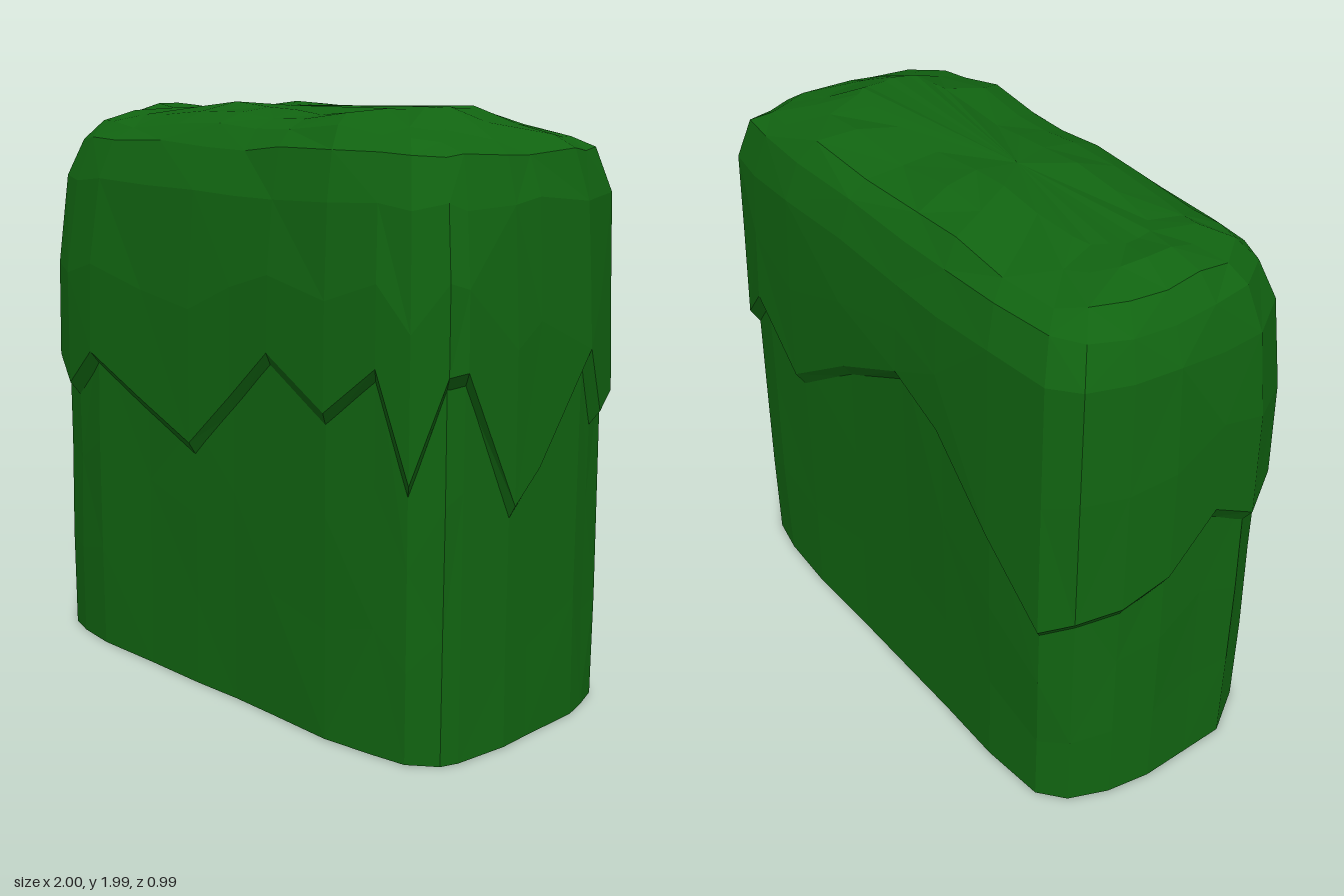
import * as THREE from 'three';

// Plan outline, counterclockwise from the front left: x, z, height of the zigzag edge
const OUTLINE = [
  [-0.90, 0.42, 1.04], [-0.80, 0.455, 0.95], [-0.64, 0.48, 1.09], [-0.36, 0.48, 0.96], [-0.10, 0.485, 0.85],
  [0.10, 0.48, 1.04], [0.28, 0.485, 1.21], [0.54, 0.495, 1.06], [0.73, 0.47, 1.22], [0.85, 0.45, 0.88],
  [0.94, 0.38, 1.21], [0.965, 0.32, 1.22], [0.995, 0.12, 0.78], [0.995, 0.0, 0.88], [1.0, -0.25, 1.22],
  [0.98, -0.34, 1.0], [0.945, -0.45, 1.05], [0.80, -0.48, 1.2], [0.55, -0.495, 1.0], [0.22, -0.49, 1.22],
  [-0.10, -0.49, 1.38], [-0.32, -0.49, 1.28], [-0.58, -0.495, 1.03], [-0.82, -0.475, 0.78], [-0.91, -0.40, 0.84],
  [-0.97, -0.26, 0.87], [-1.0, -0.10, 0.94], [-1.0, 0.08, 1.12], [-1.0, 0.25, 1.02],
];
const N = OUTLINE.length;

let seed = 7;
const jitter = (amount) => {
  seed = (seed * 16807) % 2147483647;
  return (seed / 2147483647 - 0.5) * 2 * amount;
};

// One ring: the outline pulled inward by a distance, at a height given per point
function ring(inset, height, rough = 0) {
  return OUTLINE.map(([x, z, zig]) => {
    const d = (typeof inset === 'function' ? inset(z) : inset) + Math.abs(jitter(rough));
    return [x * (1 - d), height(zig, x, z) + jitter(rough * 1.5), z * (1 - d * 2)];
  });
}

// Joins rings from bottom to top, with optional centre caps
function loft(rings, name, material, bottom, top) {
  const pos = rings.flat(2);
  const index = [];
  for (let r = 0; r < rings.length - 1; r++) {
    for (let i = 0; i < N; i++) {
      const a = r * N + i, b = r * N + (i + 1) % N;
      if ((i + r) % 2) index.push(a, b, b + N, a, b + N, a + N);
      else index.push(a, b, a + N, b, b + N, a + N);
    }
  }
  const cap = (point, base, up) => {
    const c = pos.length / 3;
    pos.push(...point);
    for (let i = 0; i < N; i++) {
      const a = base + i, b = base + (i + 1) % N;
      index.push(...(up ? [a, b, c] : [b, a, c]));
    }
  };
  if (bottom) cap(bottom, 0, false);
  if (top) cap(top, (rings.length - 1) * N, true);
  const geo = new THREE.BufferGeometry();
  geo.setAttribute('position', new THREE.Float32BufferAttribute(pos, 3));
  geo.setIndex(index);
  const flat = geo.toNonIndexed();
  flat.computeVertexNormals();
  const mesh = new THREE.Mesh(flat, material);
  mesh.name = name;
  return mesh;
}

export function createModel() {
  const group = new THREE.Group();
  group.name = 'hedgeBlock';
  const green = new THREE.MeshStandardMaterial({ color: 0x116411, flatShading: true });

  // Gentle waves along the top
  const wave = (x, z) => 0.014 * Math.sin(x * 8 + 3.2) - 0.02 * x * x + 0.01 * Math.cos(z * 7);
  // The front edge is rounded more than the back edge
  const bevel = (front, back) => (z) => THREE.MathUtils.lerp(back, front, THREE.MathUtils.smoothstep(z, -0.45, 0.4));

  // Lower body, slightly inside the crown
  group.add(loft([
    ring(0.022, () => 0),
    ring(0.018, (zig) => zig * 0.35, 0.012),
    ring(0.018, (zig) => zig * 0.7, 0.012),
    ring(0.028, (zig) => zig + 0.08),
  ], 'lowerBody', green, [0, 0, 0], null));

  // Overhanging crown with a zigzag lower lip
  group.add(loft([
    ring(0.035, (zig) => zig - 0.035),
    ring(0, (zig) => zig + 0.02),
    ring(0, (zig) => THREE.MathUtils.lerp(zig, 1.72, 0.55), 0.012),
    ring(bevel(0.035, 0.015), () => 1.72, 0.01),
    ring(bevel(0.085, 0.06), () => 1.86, 0.008),
    ring(bevel(0.15, 0.12), (zig, x, z) => 1.935 + wave(x, z), 0.006),
    ring(0.24, (zig, x, z) => 1.968 + wave(x, z), 0.006),
    ring(0.36, (zig, x, z) => 1.972 + wave(x * 0.64, z * 0.3), 0.004),
  ], 'crown', green, null, [-0.1, 1.98, 0]));

  return group;
}
